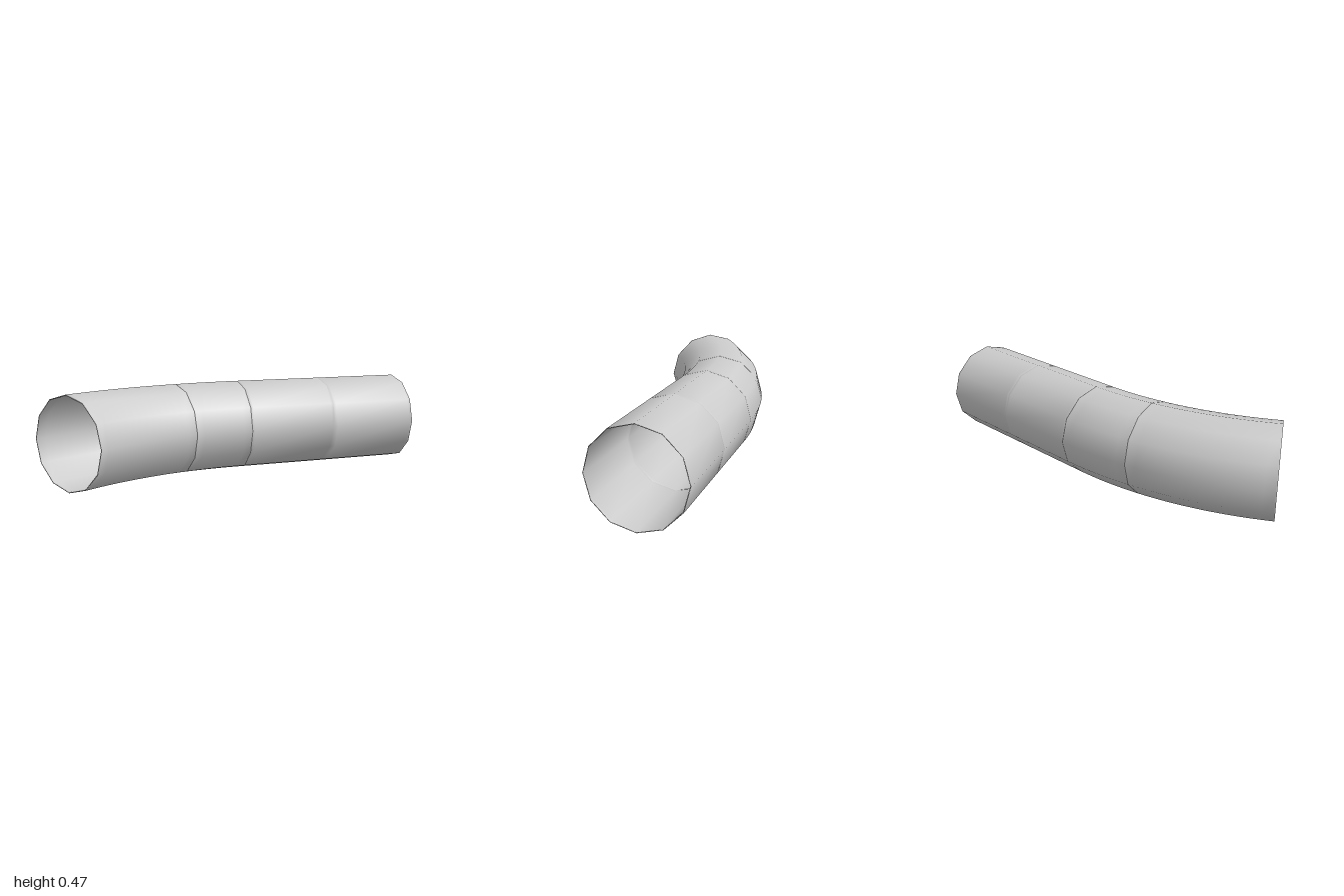
import * as THREE from 'three';

const SIDES = 12, RADIUS = 0.2335, WALL = 0.004;
const BEND_START = 0.94, BEND_RADIUS = 1.757;
const BEND_SEAM = BEND_START + BEND_RADIUS * 0.2;
const BEND_END = BEND_START + BEND_RADIUS * 0.562;

// Point on the pipe at distance s from the straight end, radius r, angle a
function pipePoint(s, r, a) {
  const t = Math.max(0, s - BEND_START) / BEND_RADIUS;
  const x = 1 - Math.min(s, BEND_START) - BEND_RADIUS * Math.sin(t);
  const z = -0.121 + BEND_RADIUS * (1 - Math.cos(t));
  const out = r * Math.cos(a);
  return [x + out * Math.sin(t), RADIUS + r * Math.sin(a), z + out * Math.cos(t)];
}

// Closed thin-walled section: outer wall, rim, inner wall, rim
function pipeSection(start, end, steps, lip) {
  const stations = [start];
  for (let i = 0; i <= steps; i++) {
    stations.push(start + lip + (end - start - 2 * lip) * i / steps);
  }
  stations.push(end);
  const rings = [
    ...stations.map(s => [s, RADIUS]),
    ...stations.slice().reverse().map(s => [s, RADIUS - WALL]),
  ];
  const positions = [], indices = [];
  rings.forEach(([s, r], i) => {
    const next = (i + 1) % rings.length;
    for (let j = 0; j < SIDES; j++) {
      positions.push(...pipePoint(s, r, j / SIDES * Math.PI * 2));
      const k = (j + 1) % SIDES;
      const a = i * SIDES + j, b = i * SIDES + k;
      const c = next * SIDES + j, d = next * SIDES + k;
      indices.push(a, b, c, b, d, c);
    }
  });
  const geometry = new THREE.BufferGeometry();
  geometry.setAttribute('position', new THREE.Float32BufferAttribute(positions, 3));
  geometry.setIndex(indices);
  geometry.computeVertexNormals();
  return geometry;
}

export function createModel() {
  const group = new THREE.Group();
  group.name = 'bentPipe';
  const material = new THREE.MeshStandardMaterial({ color: 0xcccccc, side: THREE.DoubleSide });

  // Two straight lengths, then a short and a long bend
  const sections = [
    ['straightEndSection', 0, 0.47, 1, 0.015],
    ['straightMiddleSection', 0.47, BEND_START, 1, 0.015],
    ['shortBendSection', BEND_START, BEND_SEAM, 8, 0.005],
    ['longBendSection', BEND_SEAM, BEND_END, 14, 0.005],
  ];
  for (const [name, start, end, steps, lip] of sections) {
    const mesh = new THREE.Mesh(pipeSection(start, end, steps, lip), material);
    mesh.name = name;
    group.add(mesh);
  }
  return group;
}
